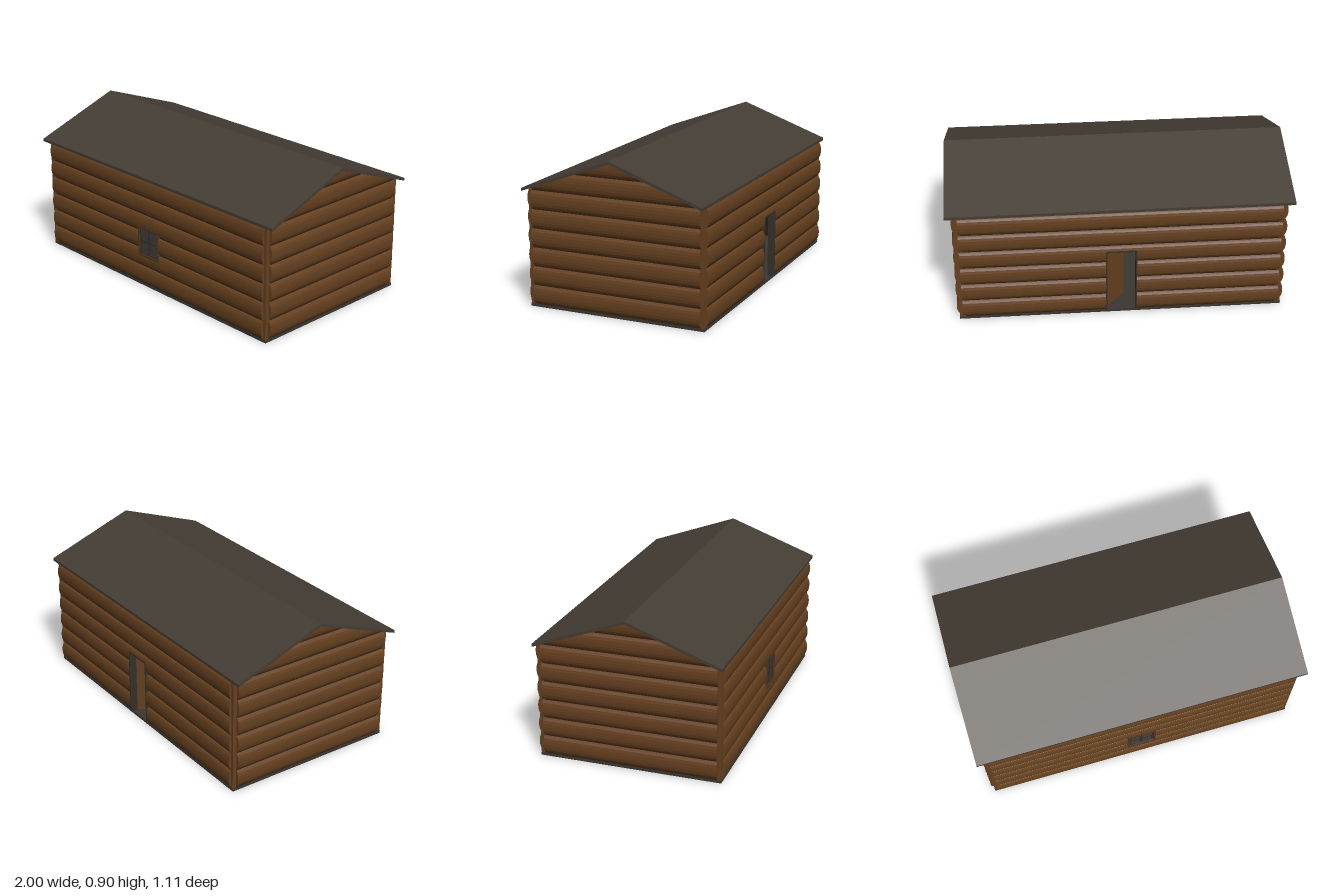
import * as THREE from 'three';

const mat = (name, color, side = THREE.FrontSide) => {
  const m = new THREE.MeshStandardMaterial({ color, side, flatShading: true });
  m.name = name;
  return m;
};

export function createModel() {
  const wood = mat('log wood', 0x65401f);
  const chink = mat('groove brown', 0x33200f);
  const roofing = mat('roof grey', 0x443d34);
  const stone = mat('foundation grey', 0x3a3631);
  const trim = mat('window surround brown', 0x513720);
  const frameDark = mat('dark frame', 0x35302a);
  const glass = mat('window glass', 0x3e3d39);
  const inside = mat('dark interior', 0x261f18);

  const cabin = new THREE.Group();
  cabin.name = 'logCabin';

  const box = (name, m, x0, x1, y0, y1, z0, z1, parent = cabin) => {
    const mesh = new THREE.Mesh(new THREE.BoxGeometry(x1 - x0, y1 - y0, z1 - z0), m);
    mesh.position.set((x0 + x1) / 2, (y0 + y1) / 2, (z0 + z1) / 2);
    mesh.name = name;
    parent.add(mesh);
    return mesh;
  };

  // Four bars round a rectangle
  const frame = (name, m, x0, x1, y0, y1, w, z0, z1) => {
    box(name + 'Left', m, x0, x0 + w, y0, y1, z0, z1);
    box(name + 'Right', m, x1 - w, x1, y0, y1, z0, z1);
    box(name + 'Top', m, x0 + w, x1 - w, y1 - w, y1, z0, z1);
    box(name + 'Bottom', m, x0 + w, x1 - w, y0, y0 + w, z0, z1);
  };

  // Log cladding: stacked half-round logs with grooves, clipped to a width rule and one opening
  const PITCH = 0.1108, START = 0.02, GAP = 0.004, BULGE = 0.019, DEPTH = -0.022, SEG = 8;
  const cladding = (name, rows, top, halfAt, hole) => {
    const levels = [[0.015, 0]];
    for (let r = 0; r < rows; r++) {
      const y0 = START + r * PITCH + GAP, h = PITCH - 2 * GAP;
      for (let i = 0; i <= SEG; i++) {
        const a = (i / SEG) * Math.PI;
        levels.push([y0 + h * (1 - Math.cos(a)) / 2, BULGE * Math.sin(a)]);
      }
    }
    const cuts = hole ? [hole.y0, hole.y1, top] : [top];
    const points = { log: [], groove: [] };
    for (let i = 0; i + 1 < levels.length; i++) {
      const [ya, wa] = levels[i], [yb, wb] = levels[i + 1];
      const list = i % (SEG + 1) === 0 ? points.groove : points.log;
      const quad = (a, b, c, d) => list.push(...a, ...b, ...c, ...a, ...c, ...d);
      const depthAt = (y) => wa + (wb - wa) * (y - ya) / (yb - ya);
      const ys = [ya, ...cuts.filter((c) => c > ya && c < yb), yb];
      for (let k = 0; k + 1 < ys.length; k++) {
        const y0 = ys[k], y1 = ys[k + 1], mid = (y0 + y1) / 2;
        if (mid > top) continue;
        const w0 = depthAt(y0), w1 = depthAt(y1), h0 = halfAt(y0), h1 = halfAt(y1);
        const open = hole && mid > hole.y0 && mid < hole.y1;
        const spans = open
          ? [[-h0, -h1, hole.x0, hole.x0], [hole.x1, hole.x1, h0, h1]]
          : [[-h0, -h1, h0, h1]];
        for (const [l0, l1, r0, r1] of spans) {
          quad([l0, y0, w0], [r0, y0, w0], [r1, y1, w1], [l1, y1, w1]);
          quad([r0, y0, w0], [r0, y0, DEPTH], [r1, y1, DEPTH], [r1, y1, w1]);
          quad([l0, y0, DEPTH], [l0, y0, w0], [l1, y1, w1], [l1, y1, DEPTH]);
        }
      }
    }
    const group = new THREE.Group();
    group.name = name;
    for (const [part, m] of [['log', wood], ['groove', chink]]) {
      const g = new THREE.BufferGeometry();
      g.setAttribute('position', new THREE.Float32BufferAttribute(points[part], 3));
      g.computeVertexNormals();
      const mesh = new THREE.Mesh(g, m);
      mesh.name = part + 's';
      group.add(mesh);
    }
    cabin.add(group);
    return group;
  };

  // Foundation slab
  box('foundation', stone, -0.95, 0.95, 0, 0.015, -0.537, 0.537);

  // Long walls with their openings
  const win = { x0: -0.095, x1: 0.08, y0: 0.2, y1: 0.39 };
  const door = { x0: -0.09, x1: 0.09, y0: 0.015, y1: 0.43 };
  cladding('frontWall', 6, 0.69, () => 0.93, win).position.z = 0.534;
  const back = cladding('backWall', 6, 0.69, () => 0.93, door);
  back.position.z = -0.534;
  back.rotation.y = Math.PI;

  // Gable walls rising to the ridge
  for (const s of [1, -1]) {
    const gable = cladding(s > 0 ? 'rightGable' : 'leftGable', 8, 0.883,
      (y) => Math.max(0, Math.min(0.513, (0.883 - y) * 2.74)));
    gable.position.x = s * 0.946;
    gable.rotation.y = s * Math.PI / 2;
    box('innerGableWall', inside, s * 0.91 - 0.008, s * 0.91 + 0.008, 0.015, 0.68, -0.505, 0.505);
    for (const t of [1, -1])
      box('cornerPost', wood, s * 0.93 - 0.016, s * 0.93 + 0.016, 0.015, 0.685, t * 0.52 - 0.016, t * 0.52 + 0.016);
  }
  box('innerFrontWall', inside, -0.91, 0.91, 0.015, 0.68, 0.49, 0.508);

  // Pitched roof slab
  const c = -0.004, e = 0.547;
  const section = new THREE.Shape([
    [c - e, 0.683], [c, 0.883], [c + e, 0.683], [c + e, 0.7], [c, 0.9], [c - e, 0.7],
  ].map(([x, y]) => new THREE.Vector2(x, y)));
  const roofGeo = new THREE.ExtrudeGeometry(section, { depth: 2, bevelEnabled: false });
  roofGeo.translate(0, 0, -1).rotateY(Math.PI / 2);
  const roof = new THREE.Mesh(roofGeo, roofing);
  roof.name = 'roof';
  cabin.add(roof);

  // Four-pane window
  frame('windowSurround', trim, win.x0, win.x1, win.y0, win.y1, 0.012, 0.512, 0.553);
  frame('windowSash', frameDark, -0.083, 0.068, 0.212, 0.378, 0.009, 0.512, 0.546);
  box('windowGlass', glass, -0.076, 0.061, 0.22, 0.37, 0.53, 0.537);
  box('mullion', frameDark, -0.0125, -0.0025, 0.22, 0.37, 0.53, 0.545);
  box('glazingBar', frameDark, -0.076, 0.061, 0.29, 0.3, 0.53, 0.545);

  // Doorway frame and a door standing ajar inwards
  for (const s of [1, -1])
    box('doorJamb', frameDark, s * 0.087 - 0.004, s * 0.087 + 0.004, 0.015, 0.43, -0.552, -0.508);
  box('doorLintel', frameDark, -0.083, 0.083, 0.42, 0.43, -0.552, -0.508);
  const hinge = new THREE.Group();
  hinge.name = 'door';
  hinge.position.set(0.082, 0, -0.505);
  hinge.rotation.y = 0.85;
  box('doorLeaf', wood, -0.165, 0, 0.018, 0.425, 0, 0.014, hinge);
  cabin.add(hinge);

  return cabin;
}
